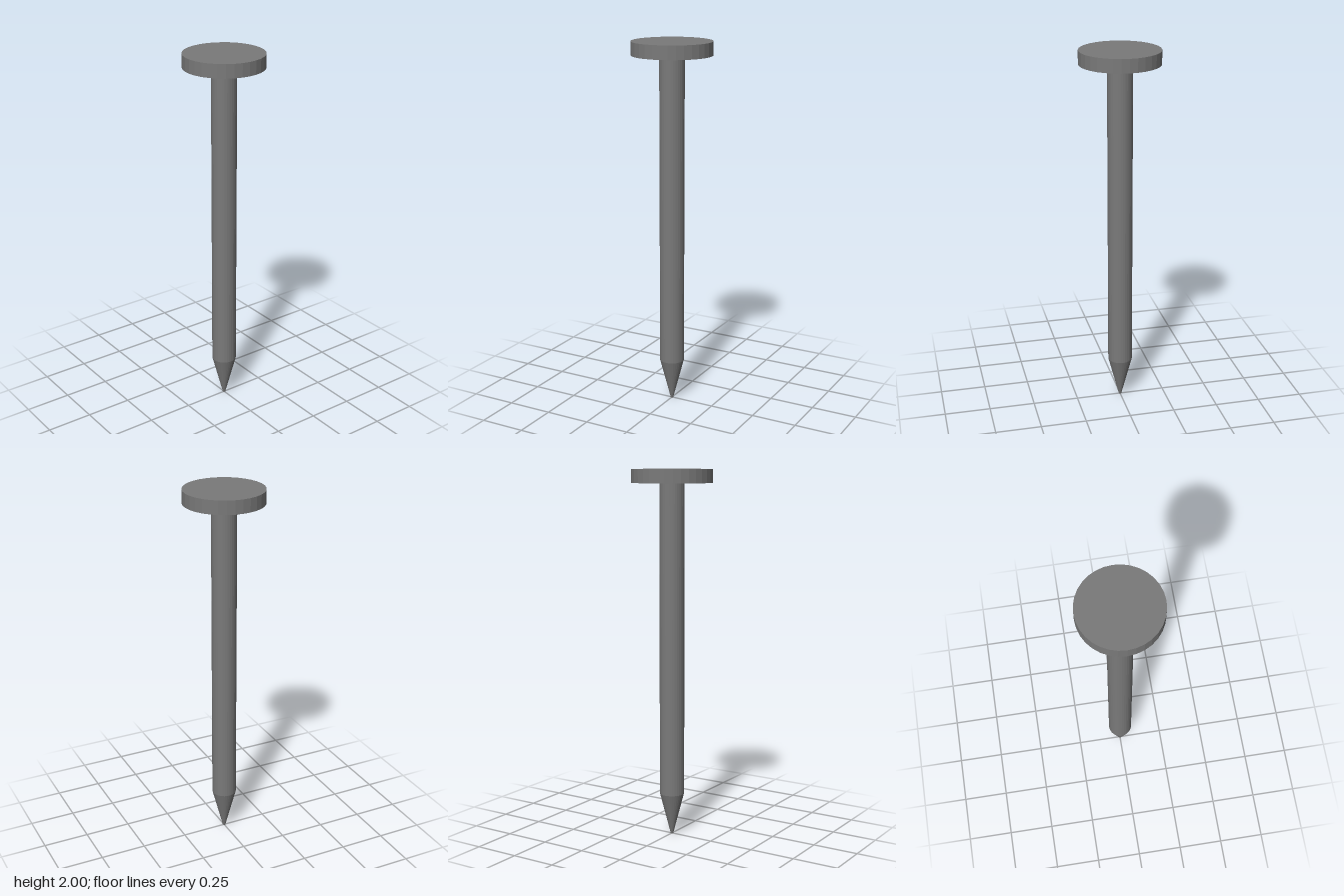
import * as THREE from 'three';

const SIDES = 32;

export function createModel() {
  const nail = new THREE.Group();
  nail.name = 'nail';
  const steel = new THREE.MeshStandardMaterial({ color: 0x7a7a7a, flatShading: true });

  // Adds a round section between two heights
  function addSection(name, rTop, rBottom, yBottom, yTop, open = false) {
    const geometry = new THREE.CylinderGeometry(rTop, rBottom, yTop - yBottom, SIDES, 1, open);
    const mesh = new THREE.Mesh(geometry, steel);
    mesh.name = name;
    mesh.position.y = (yBottom + yTop) / 2;
    nail.add(mesh);
  }

  // Flat disc head
  addSection('head', 0.215, 0.215, 1.927, 2);
  // Straight shank, closed off by the head and the point
  addSection('shank', 0.067, 0.067, 0.232, 1.927, true);
  // Tapered point with a tiny blunt end
  addSection('point', 0.067, 0.007, 0, 0.232);

  return nail;
}
